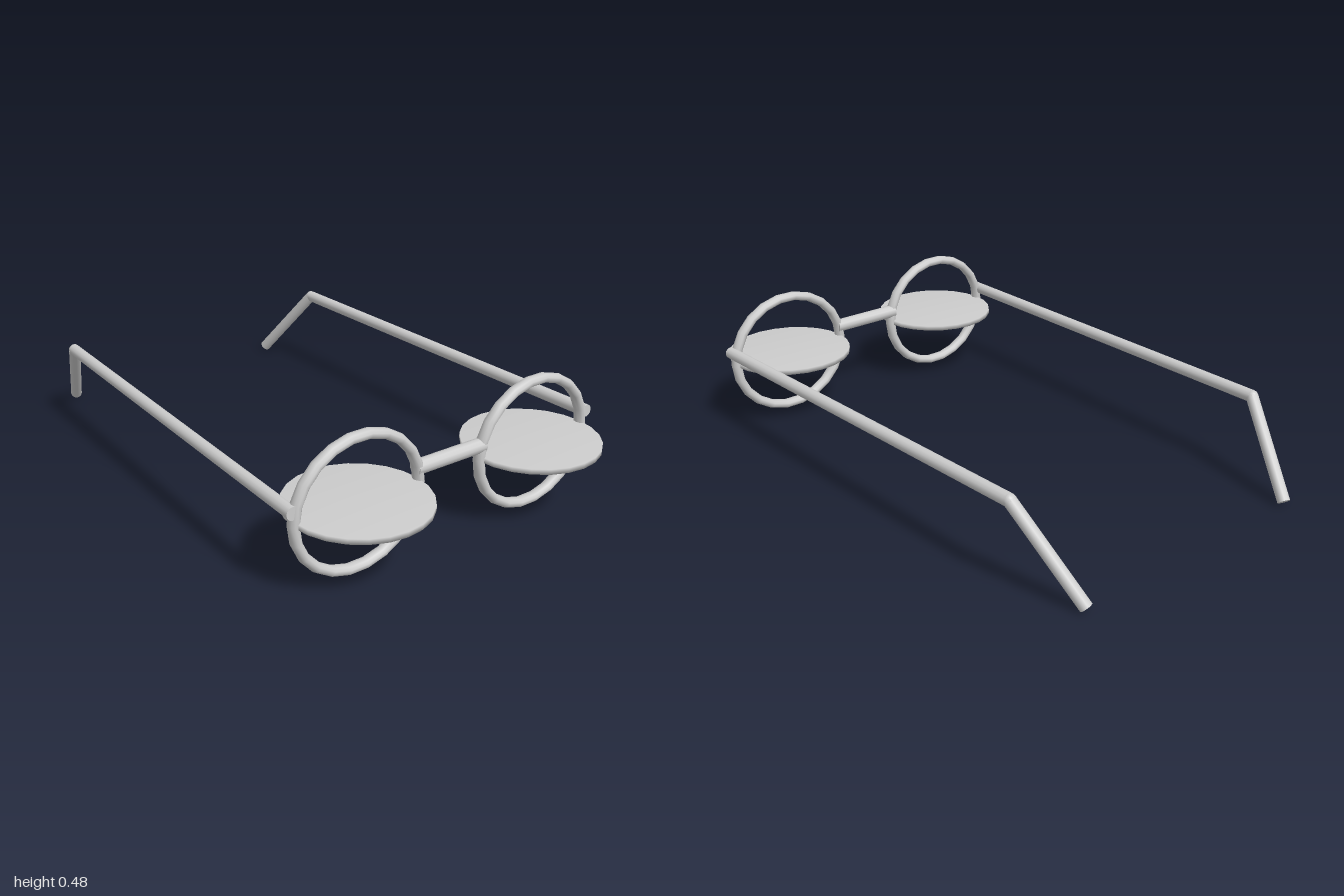
import * as THREE from 'three';

const frameGrey = new THREE.MeshStandardMaterial({ color: 0xcccccc });
frameGrey.name = 'frameGrey';

// Round rod between two points
function rod(name, a, b, radius) {
  const start = new THREE.Vector3(...a), end = new THREE.Vector3(...b);
  const dir = end.clone().sub(start);
  const mesh = new THREE.Mesh(new THREE.CylinderGeometry(radius, radius, dir.length(), 12), frameGrey);
  mesh.position.copy(start).add(end).multiplyScalar(0.5);
  mesh.quaternion.setFromUnitVectors(new THREE.Vector3(0, 1, 0), dir.normalize());
  mesh.name = name;
  return mesh;
}

export function createModel() {
  const model = new THREE.Group();
  model.name = 'spectacles';

  // Bridge between the rims
  model.add(rod('bridge', [-0.14, 0.3, 0.765], [0.14, 0.3, 0.765], 0.025));

  for (const s of [-1, 1]) {
    const side = s > 0 ? 'left' : 'right';

    // Slightly flattened round rim
    const rim = new THREE.Mesh(new THREE.TorusGeometry(0.234, 0.018, 10, 22), frameGrey);
    rim.scale.set(1, 0.94, 1.2);
    rim.position.set(s * 0.36, 0.252, 0.767);
    rim.name = side + 'Rim';
    model.add(rim);

    // Lens lying flat across the rim: shallow cone below, thin edge, flat top
    const profile = [[0, -0.045], [0.2325, -0.007], [0.2325, 0.011], [0, 0.011]]
      .map(([r, y]) => new THREE.Vector2(r, y));
    const lens = new THREE.Mesh(new THREE.LatheGeometry(profile, 24), frameGrey);
    lens.position.set(s * 0.36, 0.252, 0.765);
    lens.name = side + 'Lens';
    model.add(lens);

    // Temple arm, elbow and bent ear piece
    const elbow = [s * 0.56, 0.301, -0.75];
    model.add(rod(side + 'Temple', [s * 0.605, 0.301, 0.782], elbow, 0.022));
    model.add(rod(side + 'EarPiece', elbow, [s * 0.47, 0.017, -0.982], 0.022));
    const joint = new THREE.Mesh(new THREE.SphereGeometry(0.022, 12, 8), frameGrey);
    joint.position.set(...elbow);
    joint.name = side + 'Elbow';
    model.add(joint);
  }
  return model;
}
